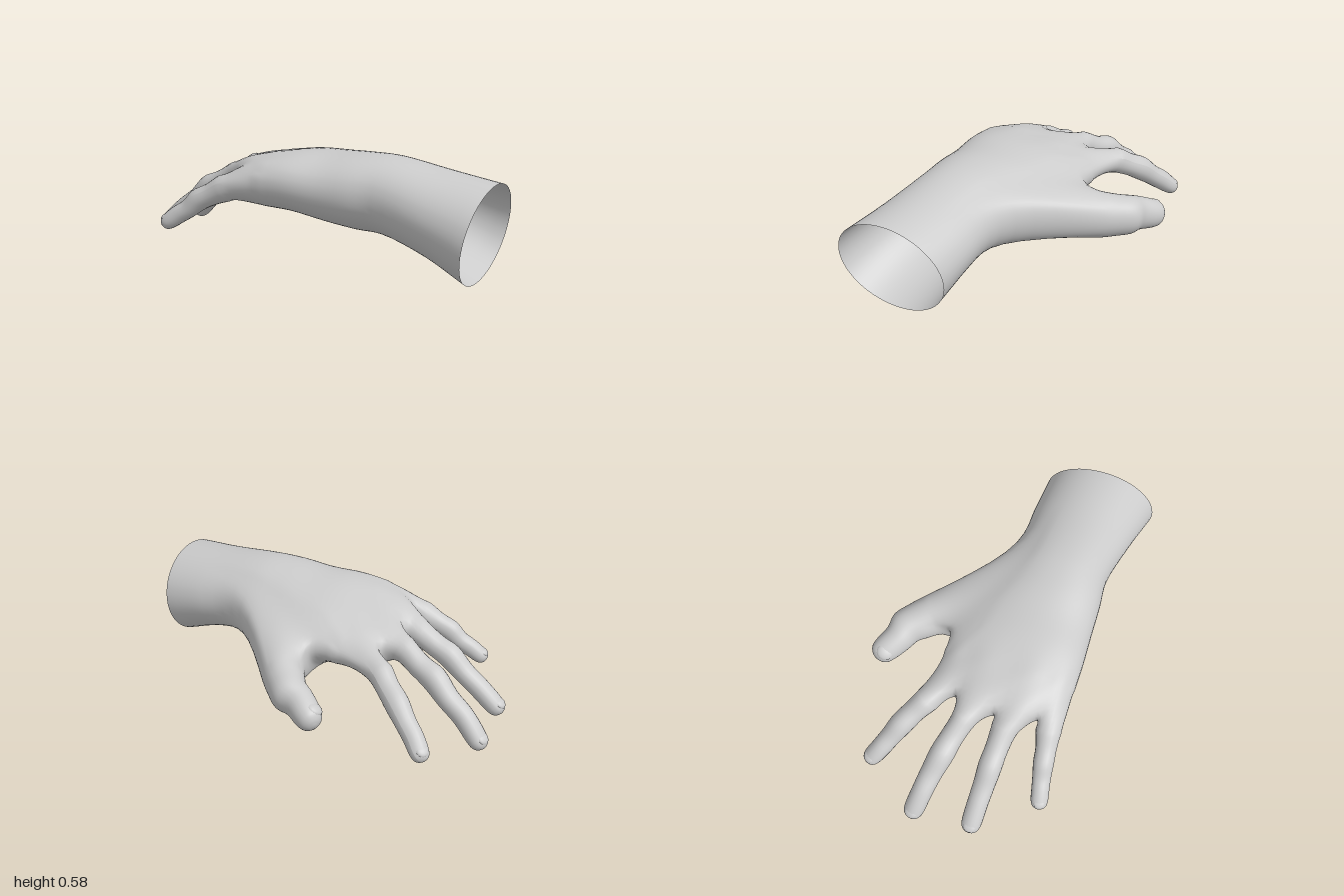
import * as THREE from 'three';

const FINGER_COLS = 6;             // columns across the back of each finger
const U = FINGER_COLS * 4;         // columns across the back of the hand
const M = 6;                       // rows down each side edge
const R = 2 * U + 2 * M;           // points around one palm ring
const SUB = 4;                     // rings between two control sections
const CORNER = THREE.MathUtils.degToRad(22);

// Forearm to knuckles: x, centre y, half height, centre z, half width, squareness,
// knuckle bow, tilt, roll of the back, depth of the thumb pad
const SECTIONS = [
  [0.96, 0.27, 0.242, 0.295, 0.299, 2, 0, 0.167, 0, 0],
  [0.72, 0.33, 0.21, 0.255, 0.275, 2, 0, 0.1, 0.03, 0],
  [0.45, 0.383, 0.193, 0.222, 0.253, 2.1, 0, 0.03, 0.07, 0.02],
  [0.30, 0.383, 0.19, 0.2, 0.285, 2.1, 0, 0, 0.1, 0.08],
  [0.13, 0.382, 0.176, 0.16, 0.33, 2.1, 0, 0, 0.11, 0.08],
  [-0.04, 0.392, 0.156, 0.145, 0.352, 2.2, 0, 0, 0.12, 0.05],
  [-0.21, 0.386, 0.139, 0.147, 0.35, 2.3, 0.3, 0, 0.12, 0],
  [-0.395, 0.38, 0.12, 0.145, 0.357, 2.4, 1, 0, 0.09, 0],
];

// Digits: x, y, z, half width, half thickness along the bone
const FINGERS = {
  indexFinger: [[-0.44, 0.347, -0.2, 0.066, 0.07], [-0.51, 0.305, -0.25, 0.059, 0.061], [-0.58, 0.26, -0.295, 0.061, 0.065],
    [-0.645, 0.2, -0.335, 0.054, 0.055], [-0.705, 0.15, -0.37, 0.052, 0.054], [-0.755, 0.1, -0.405, 0.049, 0.046]],
  middleFinger: [[-0.47, 0.375, 0.015, 0.068, 0.076], [-0.58, 0.325, -0.02, 0.06, 0.063], [-0.665, 0.29, -0.042, 0.064, 0.07],
    [-0.76, 0.212, -0.07, 0.058, 0.059], [-0.85, 0.15, -0.09, 0.055, 0.058], [-0.943, 0.052, -0.112, 0.052, 0.05]],
  ringFinger: [[-0.46, 0.37, 0.222, 0.07, 0.076], [-0.57, 0.32, 0.212, 0.059, 0.062], [-0.65, 0.283, 0.207, 0.061, 0.066],
    [-0.735, 0.21, 0.203, 0.056, 0.056], [-0.825, 0.145, 0.198, 0.054, 0.055], [-0.92, 0.066, 0.195, 0.051, 0.05]],
  littleFinger: [[-0.4, 0.355, 0.433, 0.066, 0.072], [-0.48, 0.315, 0.447, 0.054, 0.058], [-0.55, 0.28, 0.457, 0.053, 0.058],
    [-0.605, 0.23, 0.468, 0.048, 0.049], [-0.66, 0.195, 0.48, 0.046, 0.048], [-0.715, 0.155, 0.493, 0.044, 0.043]],
};
const THUMB = [[0.03, 0.275, -0.335, 0.11, 0.123], [-0.03, 0.262, -0.41, 0.099, 0.11],
  [-0.08, 0.253, -0.458, 0.094, 0.102], [-0.14, 0.238, -0.478, 0.079, 0.09], [-0.215, 0.212, -0.527, 0.07, 0.076]];

// Opening in the palm from which the thumb grows
const HOLE = { top: 3, bottom: 9, start: 2 * SUB, end: 5 * SUB };
const HOLE_SPAN = HOLE.top + M + HOLE.bottom;

// Angle of a point on the palm ring: back, little finger edge, palm, index edge
function ringAngle(j) {
  const wide = (Math.PI - 2 * CORNER) / U, narrow = 2 * CORNER / M;
  if (j <= U) return Math.PI - CORNER - j * wide;
  if (j <= U + M) return CORNER - (j - U) * narrow;
  if (j <= 2 * U + M) return -CORNER - (j - U - M) * wide;
  return -Math.PI + CORNER - (j - 2 * U - M) * narrow;
}

// Point j of a section, with hollows between the knuckles and a pad below the thumb
function sectionPoint([x, cy, hy, cz, hz, e, bow, tilt, roll, pad], j) {
  const soft = (v) => Math.sign(v) * Math.abs(v) ** (2 / e);
  const angle = ringAngle(j), up = Math.sin(angle);
  const dy = hy * soft(up), dz = hz * soft(Math.cos(angle));
  const hollow = j <= U ? 0.011 * bow * (1 + Math.cos(2 * Math.PI * j / FINGER_COLS)) : 0;
  const bulge = pad * Math.max(0, -up) * Math.exp(-(((cz + dz + 0.02) / 0.14) ** 2));
  return new THREE.Vector3(x + bow * dz * dz + tilt * dy,
    cy + dy + roll * dz * (0.5 + 0.5 * up) - hollow - bulge, cz + dz);
}

// Smooth run of points through control points
function strand(controls) {
  return new THREE.CatmullRomCurve3(controls).getPoints((controls.length - 1) * SUB);
}

// Centres and axes along a digit, ending in a rounded tip
function digitFrames(path) {
  const centres = path.map((p) => new THREE.Vector3(p[0], p[1], p[2]));
  const frames = path.map((p, k) => {
    const along = centres[Math.min(k + 1, path.length - 1)].clone().sub(centres[Math.max(k - 1, 0)]).normalize();
    const side = new THREE.Vector3(0, 1, 0).cross(along).normalize();
    return { centre: centres[k], along, side, up: along.clone().cross(side), rs: p[3], ru: p[4] };
  });
  const end = frames[frames.length - 1];
  for (const deg of [35, 62, 82]) {
    const a = THREE.MathUtils.degToRad(deg);
    frames.push({ ...end, centre: end.centre.clone().addScaledVector(end.along, end.rs * Math.sin(a)),
      rs: end.rs * Math.cos(a), ru: end.ru * Math.cos(a) });
  }
  return { frames, end };
}

// Evens out the skin in a zone around the given points
function relax(points, triangles, rim) {
  const near = points.map(() => new Set());
  triangles.forEach((id, k) => {
    const first = k - k % 3;
    for (let c = 0; c < 3; c++) if (triangles[first + c] !== id) near[id].add(triangles[first + c]);
  });
  const zone = new Set(rim);
  for (let grow = 0; grow < 3; grow++) [...zone].forEach((id) => near[id].forEach((n) => zone.add(n)));
  for (let pass = 0; pass < 6; pass++) {
    const moved = [...zone].map((id) => [id, [...near[id]].reduce((sum, n) => sum.add(points[n]),
      new THREE.Vector3()).divideScalar(near[id].size)]);
    moved.forEach(([id, p]) => points[id].lerp(p, 0.7));
  }
}

export function createModel() {
  const group = new THREE.Group();
  group.name = 'hand';
  const material = new THREE.MeshStandardMaterial({ color: 0xcccccc, side: THREE.DoubleSide });
  const points = [], rim = [], parts = {};
  const add = (p) => points.push(p) - 1;
  const quad = (list, a, b, c, d) => list.push(a, b, d, b, c, d);

  // Forearm and palm, with the thumb opening left out
  const columns = Array.from({ length: R }, (_, j) => strand(SECTIONS.map((s) => sectionPoint(s, j))).map(add));
  const last = columns[0].length - 1;
  const palm = parts.forearmAndPalm = [];
  for (let j = 0; j < R; j++) {
    const next = columns[(j + 1) % R];
    const facesThumb = (HOLE.top - 1 - j + R) % R < HOLE_SPAN;
    for (let i = 0; i < last; i++) {
      if (facesThumb && i >= HOLE.start && i < HOLE.end) continue;
      quad(palm, columns[j][i], columns[j][i + 1], next[i + 1], next[i]);
    }
  }

  // Grows a digit out of a loop of existing points, closing it at the tip
  function growDigit(name, root, rootSide, path, nailRoll = 0) {
    const list = parts[name] = [];
    const { frames, end } = digitFrames(path);
    const unit = (values) => {
      const lo = Math.min(...values), hi = Math.max(...values);
      return values.map((v) => (2 * v - lo - hi) / (hi - lo));
    };
    const u = unit(root.map((id) => points[id].dot(rootSide))), v = unit(root.map((id) => points[id].y));
    const strands = root.map((id, k) => {
      const a = Math.atan2(v[k], u[k]);
      const controls = frames.map((f) => f.centre.clone()
        .addScaledVector(f.side, f.rs * Math.cos(a)).addScaledVector(f.up, f.ru * Math.sin(a)));
      return [id, ...strand([points[id], ...controls]).slice(1).map(add)];
    });
    const tip = add(end.centre.clone().addScaledVector(end.along, end.rs));
    strands.forEach((s, k) => {
      const next = strands[(k + 1) % strands.length];
      for (let i = 0; i < s.length - 1; i++) quad(list, s[i], s[i + 1], next[i + 1], next[i]);
      list.push(s[s.length - 1], tip, next[s.length - 1]);
    });
    rim.push(...root);

    // Nail: a thin shell resting on the fingertip
    const nail = new THREE.Mesh(new THREE.SphereGeometry(1, 20, 12), material);
    nail.name = name + 'Nail';
    const up = end.up.clone().applyAxisAngle(end.along, nailRoll);
    const side = end.side.clone().applyAxisAngle(end.along, nailRoll);
    nail.quaternion.setFromRotationMatrix(new THREE.Matrix4().makeBasis(side, up, end.along));
    nail.position.copy(end.centre).addScaledVector(up, end.ru * 0.7).addScaledVector(end.along, end.rs * 0.05);
    nail.scale.set(end.rs * 0.66, end.ru * 0.31, end.rs * 0.64);
    group.add(nail);
  }

  // Edges between the fingers at the knuckles, from back to palm
  const ring = columns.map((c) => c[last]);
  const backId = (c) => ring[c], palmId = (c) => ring[2 * U + M - c];
  const edges = [0, 1, 2, 3, 4].map((b) => Array.from({ length: M - 1 }, (_, k) => {
    if (b === 0) return ring[R - 1 - k];
    if (b === 4) return ring[U + 1 + k];
    const c = b * FINGER_COLS;
    return add(points[backId(c)].clone().lerp(points[palmId(c)], (k + 1) / M));
  }));

  // Four fingers
  Object.entries(FINGERS).forEach(([name, path], f) => {
    const cols = Array.from({ length: FINGER_COLS + 1 }, (_, k) => f * FINGER_COLS + k);
    const root = [...cols.map(backId), ...edges[f + 1],
      ...cols.slice().reverse().map(palmId), ...edges[f].slice().reverse()];
    growDigit(name, root, new THREE.Vector3(0, 0, 1), path);
  });

  // Thumb
  const holeId = (k, i) => columns[(HOLE.top - k + R) % R][i];
  const thumbRoot = [];
  for (let i = HOLE.start; i < HOLE.end; i++) thumbRoot.push(holeId(0, i));
  for (let k = 0; k < HOLE_SPAN; k++) thumbRoot.push(holeId(k, HOLE.end));
  for (let i = HOLE.end; i > HOLE.start; i--) thumbRoot.push(holeId(HOLE_SPAN, i));
  for (let k = HOLE_SPAN; k > 0; k--) thumbRoot.push(holeId(k, HOLE.start));
  growDigit('thumb', thumbRoot, new THREE.Vector3(-1, 0, 0), THUMB, -0.5);

  // Smooth the whole skin, then split it into named parts
  const triangles = Object.values(parts).flat();
  relax(points, triangles, rim);
  const skin = new THREE.BufferGeometry().setFromPoints(points);
  skin.setIndex(triangles);
  skin.computeVertexNormals();
  for (const [name, index] of Object.entries(parts)) {
    skin.setIndex(index);
    const mesh = new THREE.Mesh(skin.toNonIndexed(), material);
    mesh.name = name;
    group.add(mesh);
  }
  return group;
}
